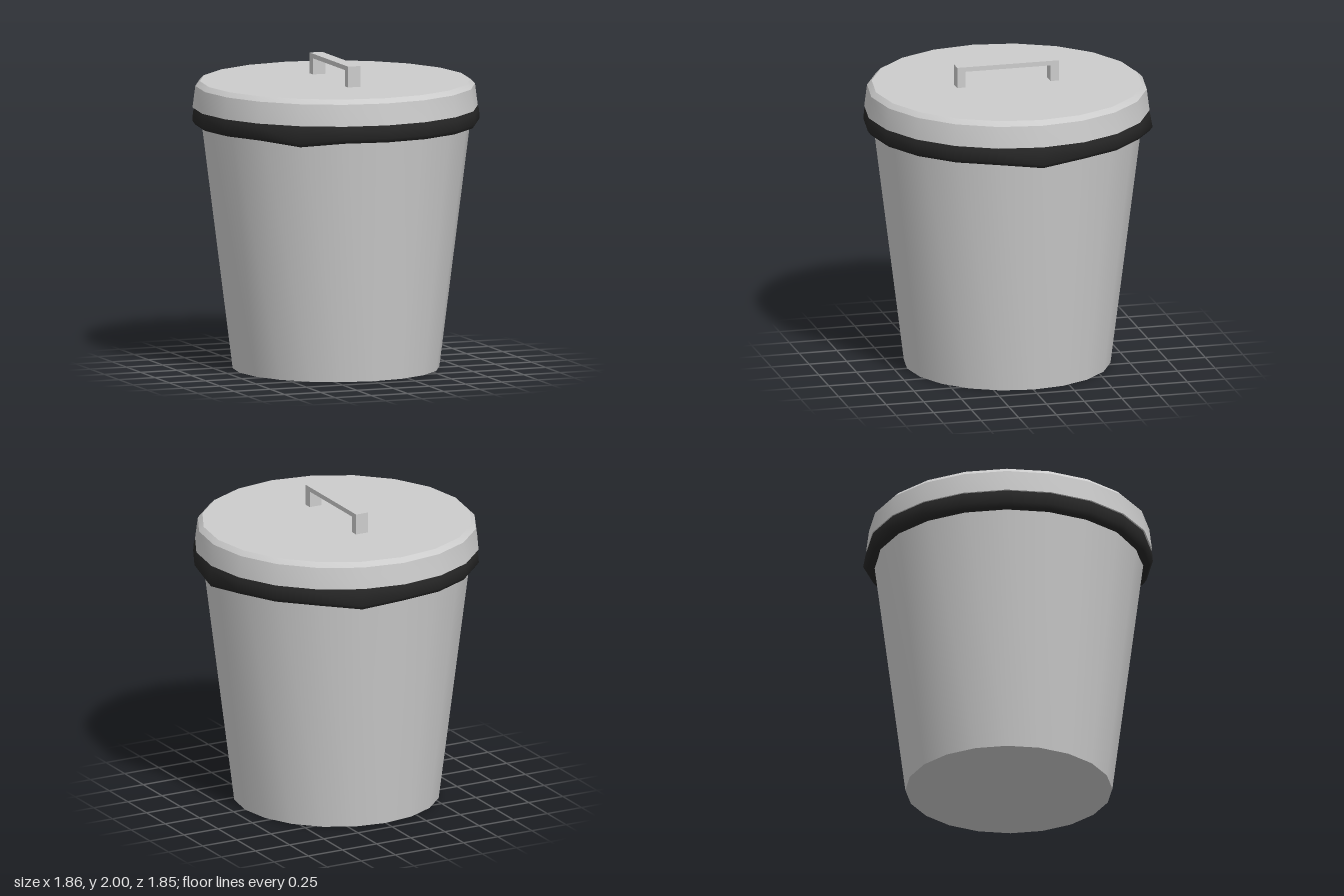
import * as THREE from 'three';
import { toCreasedNormals } from 'three/addons/utils/BufferGeometryUtils.js';

const SIDES = 20;

// Closed 20-sided solid of revolution, profile listed from bottom to top
function turned(points) {
  return new THREE.LatheGeometry(points.map(([r, y]) => new THREE.Vector2(r, y)), SIDES);
}

export function createModel() {
  const grey = new THREE.MeshStandardMaterial({ color: 0xcccccc });
  grey.name = 'light grey metal';
  const black = new THREE.MeshStandardMaterial({ color: 0x262626 });
  black.name = 'black plastic';

  const model = new THREE.Group();
  model.name = 'trashCan';
  function add(parent, name, geometry, material) {
    const mesh = new THREE.Mesh(geometry, material);
    mesh.name = name;
    parent.add(mesh);
    return mesh;
  }

  // Tapered bin with a flat bottom
  const body = turned([[0, 0], [0.665, 0], [0.878, 1.7], [0, 1.7]]);
  add(model, 'body', toCreasedNormals(body, 0.4), grey);

  // Folded bag rim, sagging at three places
  const bag = turned([[0.85, 1.59], [0.868, 1.58], [0.905, 1.583], [0.925, 1.61], [0.92, 1.67], [0.908, 1.702]]);
  const sags = [[0.92, 0], [0.29, -0.9], [-0.56, 0.75]].map(([x, z]) => Math.atan2(z, x));
  const pos = bag.attributes.position;
  for (let i = 0; i < pos.count; i++) {
    const x = pos.getX(i), y = pos.getY(i), z = pos.getZ(i);
    if (y < 1.585 || (y > 1.6 && y < 1.62)) {
      const angle = Math.atan2(z, x);
      const sagging = sags.some((s) => Math.abs(Math.sin((angle - s) / 2)) < 0.06);
      if (sagging) {
        const out = y < 1.6 ? 1.01 : 1.012;
        pos.setXYZ(i, x * out, y - 0.026, z * out);
      }
    }
  }
  bag.computeVertexNormals();
  add(model, 'bagRim', toCreasedNormals(bag, 1.2), black);

  // Lid with a bevelled upper edge
  const lid = turned([[0, 1.695], [0.918, 1.695], [0.9, 1.835], [0.87, 1.865], [0, 1.865]]);
  add(model, 'lid', toCreasedNormals(lid, 0.4), grey).position.x = -0.006;

  // Square handle: a bar on two legs
  const handle = new THREE.Group();
  handle.name = 'handle';
  handle.position.set(-0.007, 0, 0.003);
  model.add(handle);
  const bar = new THREE.BoxGeometry(0.086, 0.03, 0.675);
  add(handle, 'handleBar', bar, grey).position.y = 1.985;
  for (const side of [-1, 1]) {
    const leg = new THREE.BoxGeometry(0.086, 0.11, 0.056);
    add(handle, side > 0 ? 'frontLeg' : 'backLeg', leg, grey).position.set(0, 1.915, side * 0.3095);
  }
  return model;
}
